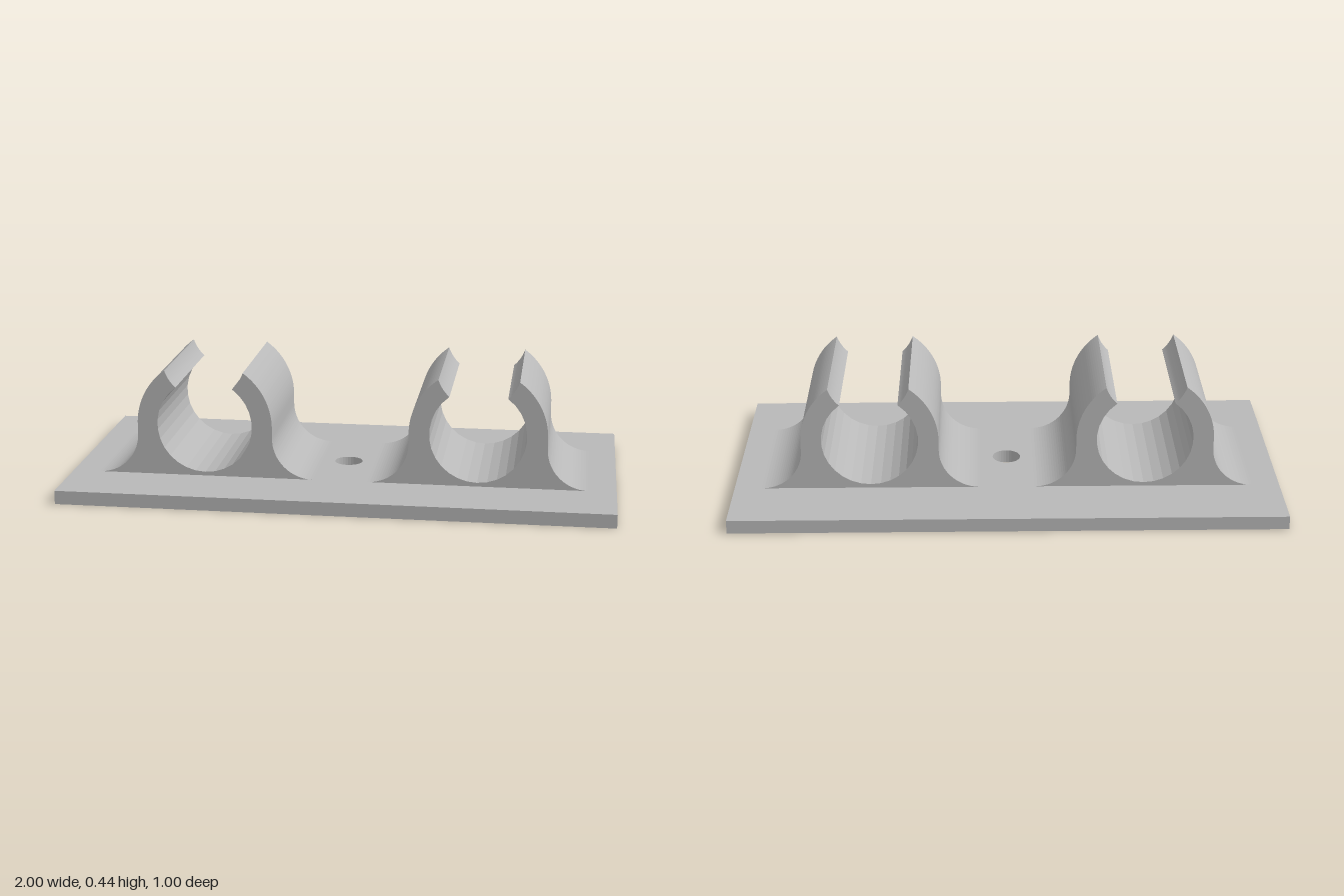
import * as THREE from 'three';

const plateHeight = 0.05;
const ringY = 0.24, inner = 0.176, outer = 0.25, fillet = 0.15;

// Open ring with flared feet, drawn around x = 0
function clipShape() {
  const tip = THREE.MathUtils.degToRad(54.5), lip = THREE.MathUtils.degToRad(53.5);
  const filletX = outer + fillet, filletY = plateHeight + fillet;
  const s = new THREE.Shape();
  s.moveTo(-filletX, plateHeight);
  s.lineTo(filletX, plateHeight);
  s.absarc(filletX, filletY, fillet, -Math.PI / 2, -Math.PI, true); // foot, +x
  s.absarc(0, ringY, outer, 0, tip, false);                          // outer arm, +x
  s.quadraticCurveTo(0.132, ringY + 0.166, inner * Math.cos(lip), ringY + inner * Math.sin(lip));
  s.absarc(0, ringY, inner, lip, Math.PI - lip, true);               // cradle
  s.quadraticCurveTo(-0.132, ringY + 0.166, -outer * Math.cos(tip), ringY + outer * Math.sin(tip));
  s.absarc(0, ringY, outer, Math.PI - tip, Math.PI, false);          // outer arm, -x
  s.absarc(-filletX, filletY, fillet, 0, -Math.PI / 2, true);        // foot, -x
  return s;
}

export function createModel() {
  const model = new THREE.Group();
  model.name = 'doubleClipMount';
  const grey = new THREE.MeshStandardMaterial({ color: 0xb8b8b8 });
  grey.name = 'grey plastic';

  // Base plate with a screw hole through the middle
  const outline = new THREE.Shape();
  outline.moveTo(-1, -0.5).lineTo(1, -0.5).lineTo(1, 0.5).lineTo(-1, 0.5).closePath();
  const hole = new THREE.Path();
  hole.absarc(0, 0, 0.052, 0, Math.PI * 2, true);
  outline.holes.push(hole);
  const plateGeometry = new THREE.ExtrudeGeometry(outline, { depth: plateHeight, bevelEnabled: false, curveSegments: 16 });
  plateGeometry.rotateX(-Math.PI / 2);
  const plate = new THREE.Mesh(plateGeometry, grey);
  plate.name = 'basePlate';
  model.add(plate);

  // Two matching pipe clips
  const clipGeometry = new THREE.ExtrudeGeometry(clipShape(), { depth: 0.5, bevelEnabled: false, curveSegments: 12 });
  clipGeometry.translate(0, 0, -0.25);
  for (const [name, x] of [['leftClip', 0.5], ['rightClip', -0.5]]) {
    const clip = new THREE.Mesh(clipGeometry, grey);
    clip.name = name;
    clip.position.x = x;
    model.add(clip);
  }
  return model;
}
